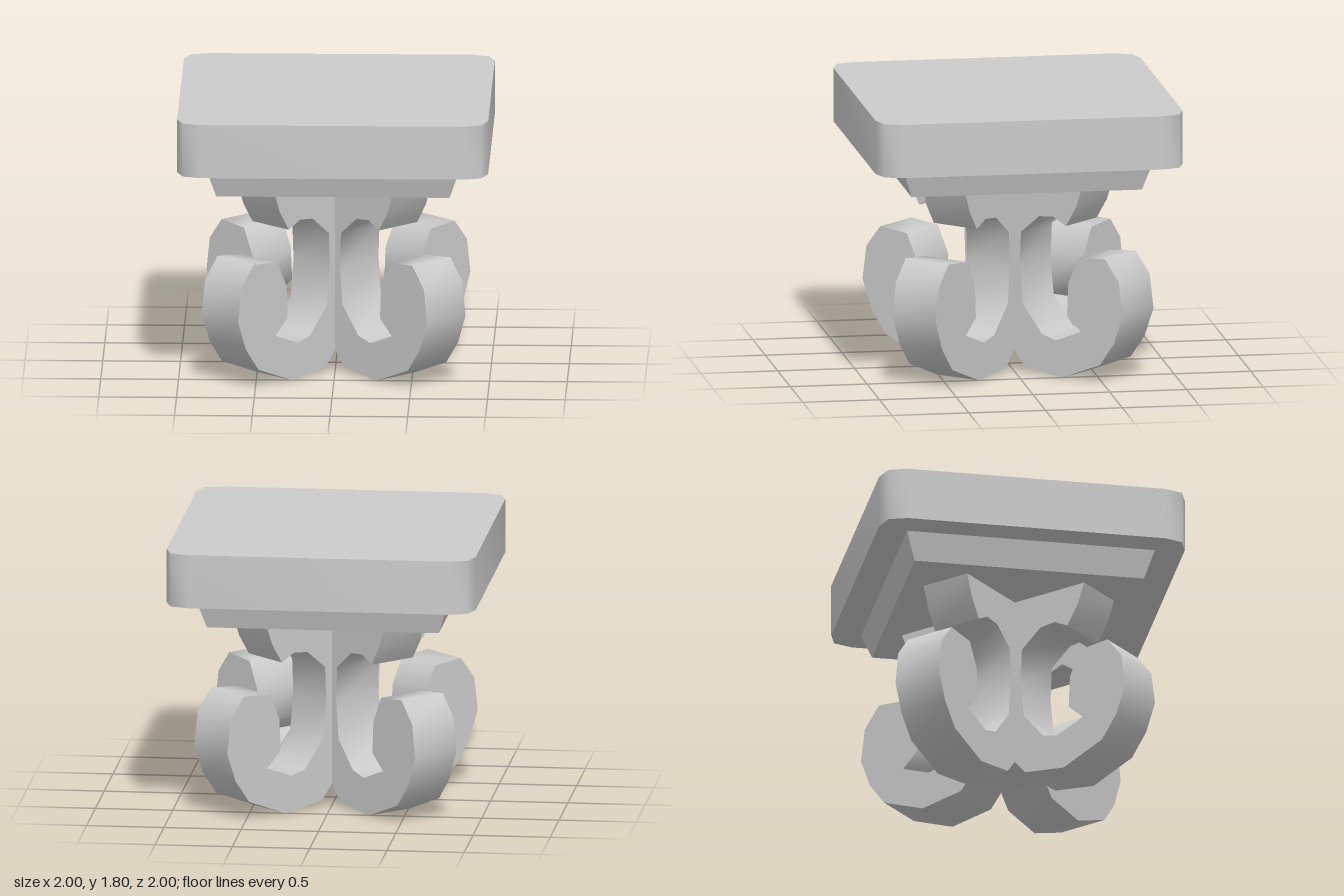
import * as THREE from 'three';
import { toCreasedNormals } from 'three/addons/utils/BufferGeometryUtils.js';

const material = new THREE.MeshStandardMaterial({ color: 0xcccccc });

function part(name, geometry, crease = 1.1) {
  const mesh = new THREE.Mesh(toCreasedNormals(geometry, crease), material);
  mesh.name = name;
  return mesh;
}

function extrude(points, depth) {
  const shape = new THREE.Shape(points.map(([x, y]) => new THREE.Vector2(x, y)));
  return new THREE.ExtrudeGeometry(shape, { depth, bevelEnabled: false, steps: 1 });
}

export function createModel() {
  const model = new THREE.Group();
  model.name = 'pedestal';

  // Square top slab with faceted corners
  const corner = [[1, 0.84], [0.96, 0.96], [0.84, 1]];
  const outline = [];
  for (let i = 0; i < 4; i++) {
    const c = Math.round(Math.cos(i * Math.PI / 2)), s = Math.round(Math.sin(i * Math.PI / 2));
    for (const [x, y] of corner) outline.push([x * c - y * s, x * s + y * c]);
  }
  const slab = extrude(outline, 0.35);
  slab.rotateX(-Math.PI / 2);
  slab.translate(0, 1.45, 0);
  model.add(part('topSlab', slab));

  // Tapered square block under the slab
  const block = new THREE.CylinderGeometry(0.81 * Math.SQRT2, 0.75 * Math.SQRT2, 0.18, 4);
  block.rotateY(Math.PI / 4);
  block.translate(0, 1.36, 0);
  model.add(part('taperedBlock', block, 0.5));

  // Radius and height profile: stem, curled foot and upper bracket in one
  const profile = [
    [0, 0.14], [0.17, 0.14], [0.25, 0.045], [0.55, 0], [0.85, 0.12], [0.96, 0.27],
    [1.03, 0.46], [1.0, 0.68], [0.89, 0.82], [0.68, 0.8], [0.6, 0.63], [0.59, 0.42],
    [0.7, 0.32], [0.5, 0.24], [0.39, 0.27], [0.24, 0.45], [0.215, 0.69], [0.225, 0.92],
    [0.37, 1.04], [0.48, 1.05], [0.58, 1.0], [0.66, 1.13], [0.71, 1.27], [0, 1.27],
  ];
  const width = 0.34;

  // Four legs on the diagonals, merging into the central column
  for (let i = 0; i < 4; i++) {
    const leg = extrude(profile, width);
    leg.translate(0, 0, -width / 2);
    leg.rotateY(Math.PI / 4 + i * Math.PI / 2);
    model.add(part('scrollLeg' + (i + 1), leg));
  }
  return model;
}
